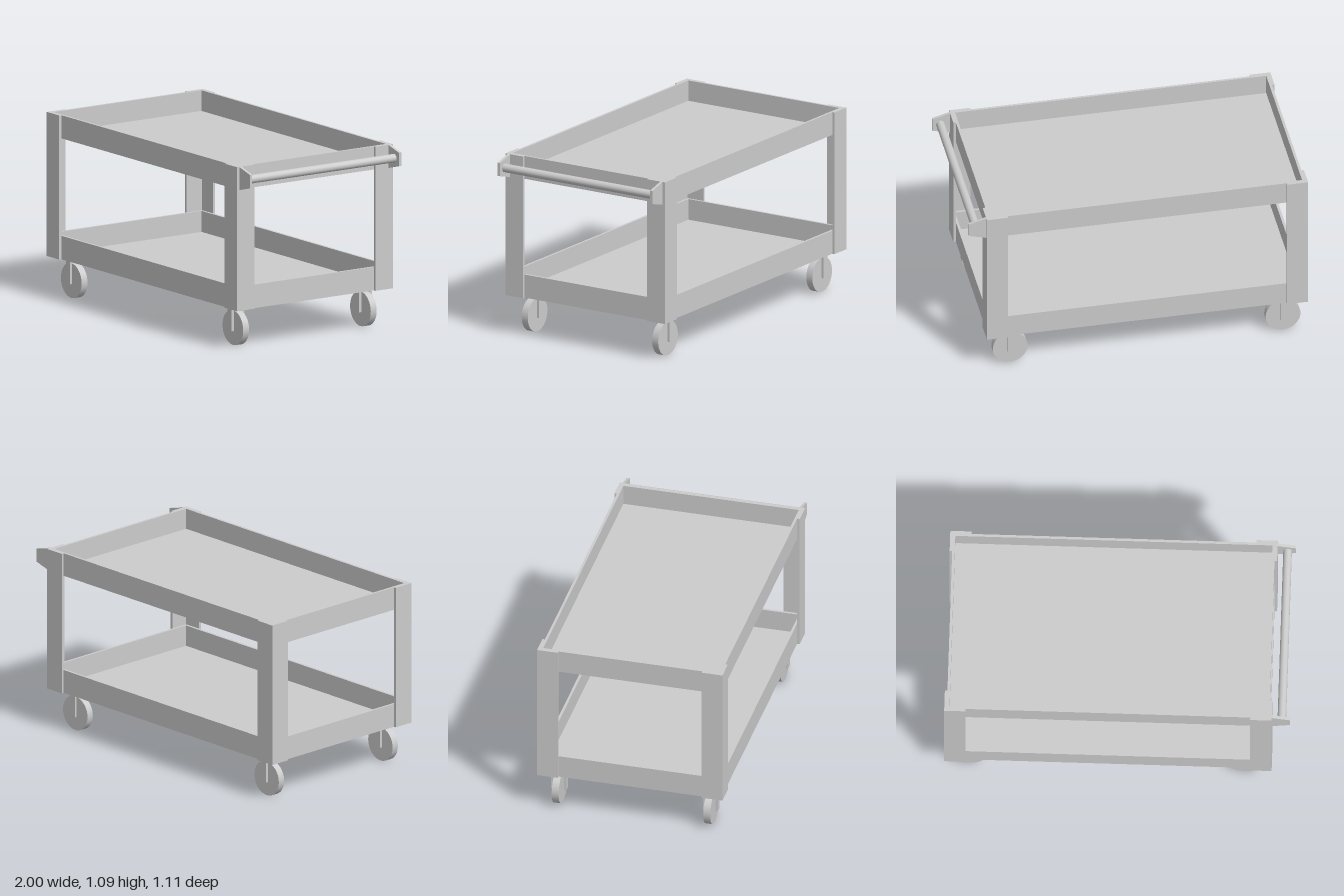
import * as THREE from 'three';

const material = new THREE.MeshStandardMaterial({ color: 0xcccccc });
const CX = -0.0525;               // centre of the frame along x
const BOTTOM = 0.235, TOP = 1.087;
const HALF_X = 0.9475, HALF_Z = 0.554, SHEET = 0.015;
const TRAY_X = HALF_X - SHEET, TRAY_Z = HALF_Z - SHEET;

function add(parent, name, geometry, x = 0, y = 0, z = 0) {
  const mesh = new THREE.Mesh(geometry, material);
  mesh.name = name;
  mesh.position.set(x, y, z);
  parent.add(mesh);
  return mesh;
}

function polygon(points) {
  return new THREE.Shape(points.map(([x, y]) => new THREE.Vector2(x, y)));
}

function rectangle(hx, hz) {
  return polygon([[-hx, -hz], [hx, -hz], [hx, hz], [-hx, hz]]);
}

// Extrude a floor-plan shape straight up
function extrudeUp(shape, height) {
  return new THREE.ExtrudeGeometry(shape, { depth: height, bevelEnabled: false }).rotateX(-Math.PI / 2);
}

// Shallow tray: a rim around a thin floor
function createTray(name, y, height) {
  const tray = new THREE.Group();
  tray.name = name;
  tray.position.set(CX, y, 0);
  const rim = rectangle(TRAY_X, TRAY_Z);
  rim.holes.push(rectangle(TRAY_X - SHEET, TRAY_Z - SHEET));
  add(tray, 'rim', extrudeUp(rim, height));
  add(tray, 'floor', new THREE.BoxGeometry(2 * (TRAY_X - SHEET), SHEET, 2 * (TRAY_Z - SHEET)), 0, SHEET / 2, 0);
  return tray;
}

// Angle-section leg wrapping the outside of a tray corner
function createLeg(sx, sz) {
  const w = 0.124;
  const section = [[0, 0], [w, 0], [w, SHEET], [SHEET, SHEET], [SHEET, w], [0, w]];
  const shape = polygon(section.map(([x, z]) => [sx * (HALF_X - x), -sz * (HALF_Z - z)]));
  return extrudeUp(shape, TOP - BOTTOM);
}

// Caster: wheel between the two cheeks of an inverted U fork
function createCaster() {
  const caster = new THREE.Group();
  caster.name = 'caster';
  const wheel = new THREE.CylinderGeometry(0.103, 0.103, 0.042, 32).rotateX(Math.PI / 2);
  add(caster, 'wheel', wheel, 0, 0.103, 0);
  const fork = polygon([
    [-0.045, 0.087], [-0.03, 0.087], [-0.03, 0.22], [0.03, 0.22],
    [0.03, 0.087], [0.045, 0.087], [0.045, BOTTOM], [-0.045, BOTTOM],
  ]);
  const forkGeometry = new THREE.ExtrudeGeometry(fork, { depth: 0.042, bevelEnabled: false })
    .translate(0, 0, -0.021).rotateY(Math.PI / 2);
  add(caster, 'fork', forkGeometry);
  return caster;
}

export function createModel() {
  const cart = new THREE.Group();
  cart.name = 'serviceCart';

  cart.add(createTray('lowerTray', BOTTOM, 0.139));
  cart.add(createTray('upperTray', 0.95, TOP - 0.95));

  // Legs and casters at the four corners
  for (const sx of [-1, 1]) {
    for (const sz of [-1, 1]) {
      add(cart, 'leg', createLeg(sx, sz), CX, BOTTOM, 0);
      const caster = createCaster();
      caster.position.set(sx < 0 ? -0.868 : 0.742, 0, sz * 0.453);
      cart.add(caster);
    }
  }

  // Push handle: two tapered end plates joined by a round bar
  const handle = new THREE.Group();
  handle.name = 'handle';
  const plate = polygon([[0.895, 0.95], [1, 0.979], [1, 1.058], [0.895, TOP]]);
  const plateThickness = 0.017;
  for (const z of [-0.538, 0.521]) {
    add(handle, 'handlePlate', new THREE.ExtrudeGeometry(plate, { depth: plateThickness, bevelEnabled: false }), 0, 0, z);
  }
  const bar = new THREE.CylinderGeometry(0.025, 0.025, 1.042, 32).rotateX(Math.PI / 2);
  add(handle, 'handleBar', bar, 0.953, 1.019, 0);
  cart.add(handle);

  return cart;
}
